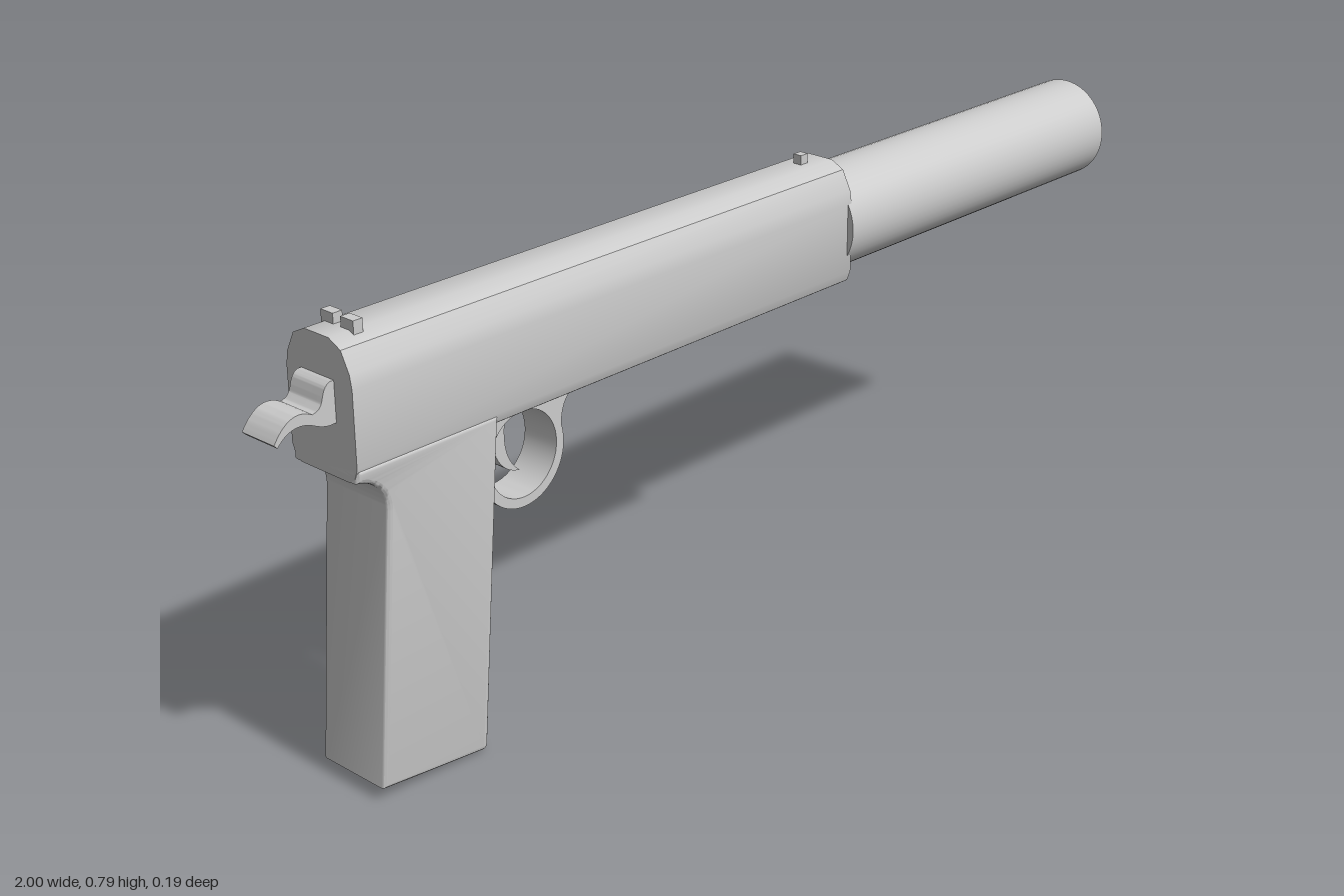
import * as THREE from 'three';
import { toCreasedNormals } from 'three/addons/utils/BufferGeometryUtils.js';

const MID = 0.006; // the body sits slightly off the barrel axis

export function createModel() {
  const group = new THREE.Group();
  const material = new THREE.MeshStandardMaterial({ color: 0xcccccc });

  const add = (name, geometry, x = 0, y = 0, z = 0) => {
    const mesh = new THREE.Mesh(geometry, material);
    mesh.name = name;
    mesh.position.set(x, y, z);
    group.add(mesh);
    return mesh;
  };

  // Extrudes a side profile through the given width, centred on z = 0
  const slab = (shape, width, bevel = 0) => {
    const geometry = new THREE.ExtrudeGeometry(shape, {
      depth: width - 2 * bevel,
      bevelEnabled: bevel > 0,
      bevelSize: bevel, bevelThickness: bevel, bevelOffset: -bevel, bevelSegments: 3,
      curveSegments: 24,
    });
    geometry.translate(0, 0, bevel - width / 2);
    return toCreasedNormals(geometry, 0.6);
  };

  // Slide: mirrored cross-section swept along the length
  const half = [[0.055, 0.552], [0.068, 0.56], [0.075, 0.578], [0.075, 0.705],
    [0.071, 0.728], [0.054, 0.762], [0.028, 0.775]];
  const section = [...half, ...half.map(([z, y]) => [-z, y]).reverse()];
  const slide = new THREE.ExtrudeGeometry(
    new THREE.Shape(section.map(([z, y]) => new THREE.Vector2(z, y))),
    { depth: 1.13, bevelEnabled: false });
  slide.rotateY(Math.PI / 2);
  add('slide', toCreasedNormals(slide, 0.5), -0.885, 0, MID);

  // Long cylinder on the front
  const tube = new THREE.CylinderGeometry(0.094, 0.094, 0.765, 48);
  tube.rotateZ(-Math.PI / 2);
  add('barrelTube', tube, 0.6175, 0.657, 0);

  // Grip with a swept-back tang at the top
  const grip = new THREE.Shape();
  grip.moveTo(-0.87, 0.024);
  grip.lineTo(-0.664, 0.002);
  grip.quadraticCurveTo(-0.653, 0, -0.651, 0.014);
  grip.lineTo(-0.602, 0.575);
  grip.lineTo(-0.885, 0.575);
  grip.lineTo(-0.885, 0.553);
  grip.bezierCurveTo(-0.85, 0.548, -0.828, 0.525, -0.83, 0.49);
  grip.closePath();
  add('grip', slab(grip, 0.15, 0.008), 0, 0, MID);

  // Trigger guard: ring that flares into the frame
  const cx = -0.519, cy = 0.466;
  const guard = new THREE.Shape();
  guard.moveTo(-0.605, 0.56);
  guard.lineTo(cx - 0.089, cy);
  guard.absarc(cx, cy, 0.089, Math.PI, Math.PI * 2.1, false);
  guard.bezierCurveTo(-0.432, 0.53, -0.42, 0.55, -0.375, 0.56);
  guard.closePath();
  const opening = new THREE.Path();
  opening.absellipse(cx, cy + 0.003, 0.073, 0.075, 0, Math.PI * 2, true);
  guard.holes.push(opening);
  add('triggerGuard', slab(guard, 0.074), 0, 0, MID);

  // Curved trigger
  const trigger = new THREE.Shape();
  trigger.moveTo(-0.57, 0.56);
  trigger.bezierCurveTo(-0.58, 0.49, -0.56, 0.44, -0.512, 0.434);
  trigger.bezierCurveTo(-0.54, 0.455, -0.553, 0.49, -0.535, 0.56);
  trigger.closePath();
  add('trigger', slab(trigger, 0.04), 0, 0, MID);

  // Hammer with a curled spur
  const hammer = new THREE.Shape();
  hammer.moveTo(-0.87, 0.71);
  hammer.lineTo(-0.893, 0.71);
  hammer.bezierCurveTo(-0.915, 0.7, -0.9, 0.672, -0.928, 0.669);
  hammer.bezierCurveTo(-0.955, 0.685, -0.98, 0.675, -1, 0.643);
  hammer.lineTo(-0.994, 0.637);
  hammer.bezierCurveTo(-0.975, 0.66, -0.95, 0.663, -0.925, 0.65);
  hammer.quadraticCurveTo(-0.905, 0.64, -0.89, 0.642);
  hammer.lineTo(-0.87, 0.642);
  hammer.closePath();
  add('hammer', slab(hammer, 0.074), 0, 0, MID - 0.003);

  // Two rear sight posts and one front post
  for (const [name, x, z, width] of [
    ['rearSightLeft', -0.837, 0.0295, 0.029],
    ['rearSightRight', -0.837, -0.016, 0.028],
    ['frontSight', 0.193, 0.0065, 0.017],
  ]) add(name, new THREE.BoxGeometry(0.018, 0.03, width), x, 0.777, z);

  return group;
}
